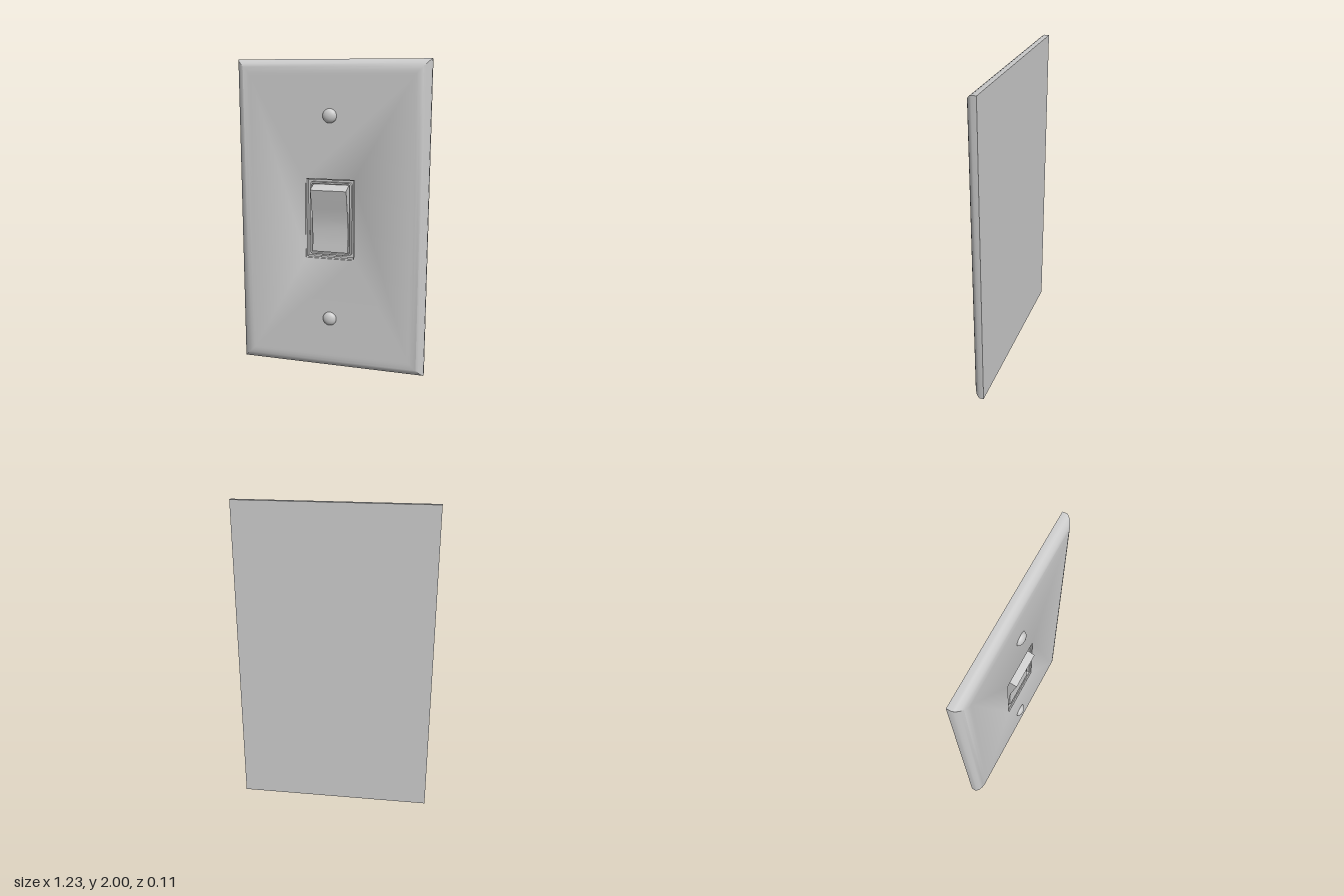
import * as THREE from 'three';
import { toCreasedNormals } from 'three/addons/utils/BufferGeometryUtils.js';

const W = 0.617, FRONT = 0.02, FLOOR = -0.025;

// Skin a stack of rectangles [halfWidth, yBottom, yTop, z], capped at both ends.
function loftRects(rects, crease) {
  const pos = [], idx = [];
  for (const [w, y0, y1, z] of rects) pos.push(-w, y0, z, w, y0, z, w, y1, z, -w, y1, z);
  for (let i = 0; i < rects.length - 1; i++) {
    for (let k = 0; k < 4; k++) {
      const a = i * 4 + k, b = i * 4 + (k + 1) % 4;
      idx.push(a, b, b + 4, a, b + 4, a + 4);
    }
  }
  const n = (rects.length - 1) * 4;
  idx.push(0, 2, 1, 0, 3, 2, n, n + 1, n + 2, n, n + 2, n + 3);
  const g = new THREE.BufferGeometry();
  g.setAttribute('position', new THREE.Float32BufferAttribute(pos, 3));
  g.setIndex(idx);
  return toCreasedNormals(g, crease);
}

function roundedRect(target, w, y0, y1, r) {
  target.moveTo(-w + r, y0);
  target.lineTo(w - r, y0).quadraticCurveTo(w, y0, w, y0 + r);
  target.lineTo(w, y1 - r).quadraticCurveTo(w, y1, w - r, y1);
  target.lineTo(-w + r, y1).quadraticCurveTo(-w, y1, -w, y1 - r);
  target.lineTo(-w, y0 + r).quadraticCurveTo(-w, y0, -w + r, y0);
  return target;
}

export function createModel() {
  const group = new THREE.Group();
  const material = new THREE.MeshStandardMaterial({ color: 0xcccccc });
  const add = (name, geometry) => {
    const mesh = new THREE.Mesh(geometry, material);
    mesh.name = name;
    group.add(mesh);
    return mesh;
  };

  // Wall plate: rounded rim [inset, z], then the stepped recess in the middle
  const rim = [[0, -0.057], [0, -0.027], [0.005, -0.017], [0.014, -0.006],
    [0.027, 0.004], [0.045, 0.013], [0.067, 0.019], [0.085, FRONT]];
  const rects = rim.map(([d, z]) => [W - d, d, 2 - d, z]);
  rects.push([0.57 - 0.05, 0.1, 1.9, FRONT]);
  rects.push([0.16, 0.748, 1.264, FRONT], [0.16, 0.748, 1.264, 0.012],
    [0.153, 0.755, 1.257, 0.008], [0.153, 0.755, 1.257, FLOOR]);
  add('wallPlate', loftRects(rects, 0.6));

  // Thin frame around the rocker
  const frame = roundedRect(new THREE.Shape(), 0.137, 0.769, 1.241, 0.02);
  frame.holes.push(roundedRect(new THREE.Path(), 0.124, 0.781, 1.229, 0.008));
  const frameGeometry = new THREE.ExtrudeGeometry(frame, {
    depth: 0.022, bevelThickness: 0.003, bevelSize: 0.003, bevelOffset: -0.003,
    bevelSegments: 2, curveSegments: 6,
  });
  add('rockerFrame', toCreasedNormals(frameGeometry, 0.5)).position.z = FLOOR;

  // Rocker: side profile drawn as (-z, y), swept across x
  const face = new THREE.CatmullRomCurve3([[0.79, 0.01], [0.88, 0.006], [0.97, 0.009],
    [1.04, 0.02], [1.12, 0.039], [1.196, 0.057]]
    .map(([y, z]) => new THREE.Vector3(-z, y, 0))).getPoints(20);
  const profile = new THREE.Shape([
    new THREE.Vector2(-FLOOR, 0.786),
    ...face.map((p) => new THREE.Vector2(p.x, p.y)),
    new THREE.Vector2(-0.053, 1.2),
    new THREE.Vector2(0.005, 1.222),
    new THREE.Vector2(-FLOOR, 1.224),
  ]);
  const rocker = new THREE.ExtrudeGeometry(profile, { depth: 0.234, bevelEnabled: false });
  rocker.translate(0, 0, -0.117).rotateY(Math.PI / 2);
  add('rocker', toCreasedNormals(rocker, 0.4));

  // Domed screw heads
  for (const [name, y] of [['upperScrew', 1.658], ['lowerScrew', 0.344]]) {
    const dome = [[0.036, 0.005], [0.042, 0.012]];
    for (let i = 0; i <= 10; i++) {
      const a = (i / 10) * Math.PI / 2;
      dome.push([0.045 * Math.cos(a), 0.02 + 0.027 * Math.sin(a)]);
    }
    const head = new THREE.LatheGeometry(
      dome.map(([r, h]) => new THREE.Vector2(Math.max(r, 0), h)), 32);
    head.rotateX(Math.PI / 2);
    add(name, head).position.y = y;
  }
  return group;
}
